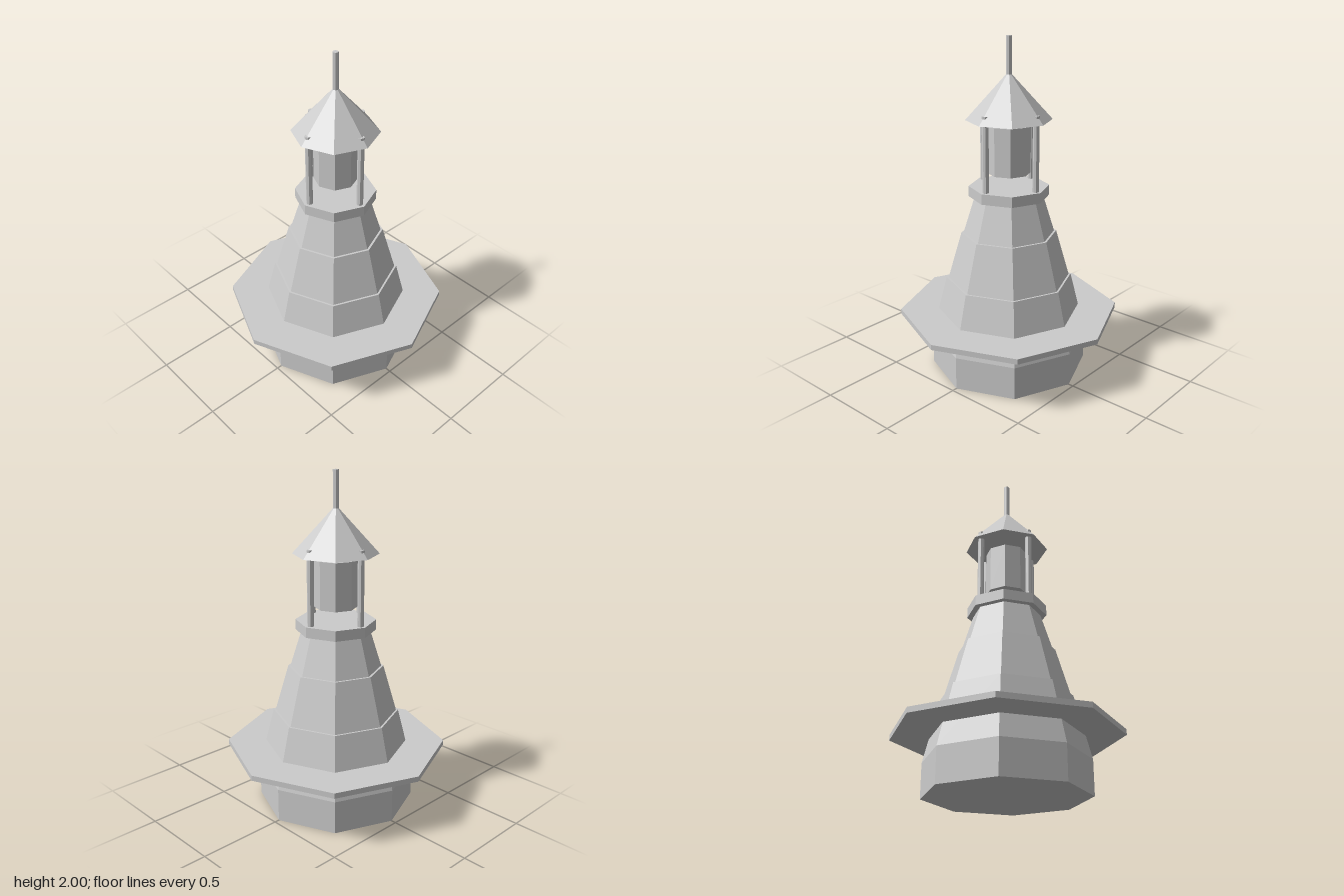
import * as THREE from 'three';

const material = new THREE.MeshStandardMaterial({ color: 0xcccccc, flatShading: true });

export function createModel() {
  const model = new THREE.Group();

  // Eight-sided frustum standing between two heights, corners on the axes
  function octagon(name, rBottom, rTop, y0, y1, x = 0, z = 0) {
    const mesh = new THREE.Mesh(new THREE.CylinderGeometry(rTop, rBottom, y1 - y0, 8), material);
    mesh.name = name;
    mesh.position.set(x, (y0 + y1) / 2, z);
    model.add(mesh);
  }

  // Tower: plinth and three stepped, tapering tiers
  octagon('plinth', 0.47, 0.47, 0, 0.2);
  octagon('lowerTier', 0.47, 0.377, 0.2, 0.568);
  octagon('middleTier', 0.365, 0.283, 0.568, 0.853);
  octagon('upperTier', 0.27, 0.2, 0.853, 1.08);

  // Wide walkway around the lower tier, and the deck on top of the tower
  octagon('walkway', 0.66, 0.66, 0.333, 0.365);
  octagon('lanternDeck', 0.236, 0.236, 1.078, 1.14);

  // Lantern, surrounded by four posts that just pierce the roof
  octagon('lantern', 0.126, 0.126, 1.217, 1.5);
  for (let i = 0; i < 4; i++) {
    const a = (i * Math.PI) / 2;
    octagon('post', 0.019, 0.019, 1.13, 1.578, 0.2 * Math.cos(a), 0.2 * Math.sin(a));
  }

  // Pointed roof and spire
  octagon('roof', 0.25, 0, 1.53, 1.805);
  octagon('spire', 0.017, 0.017, 1.75, 2);

  return model;
}
